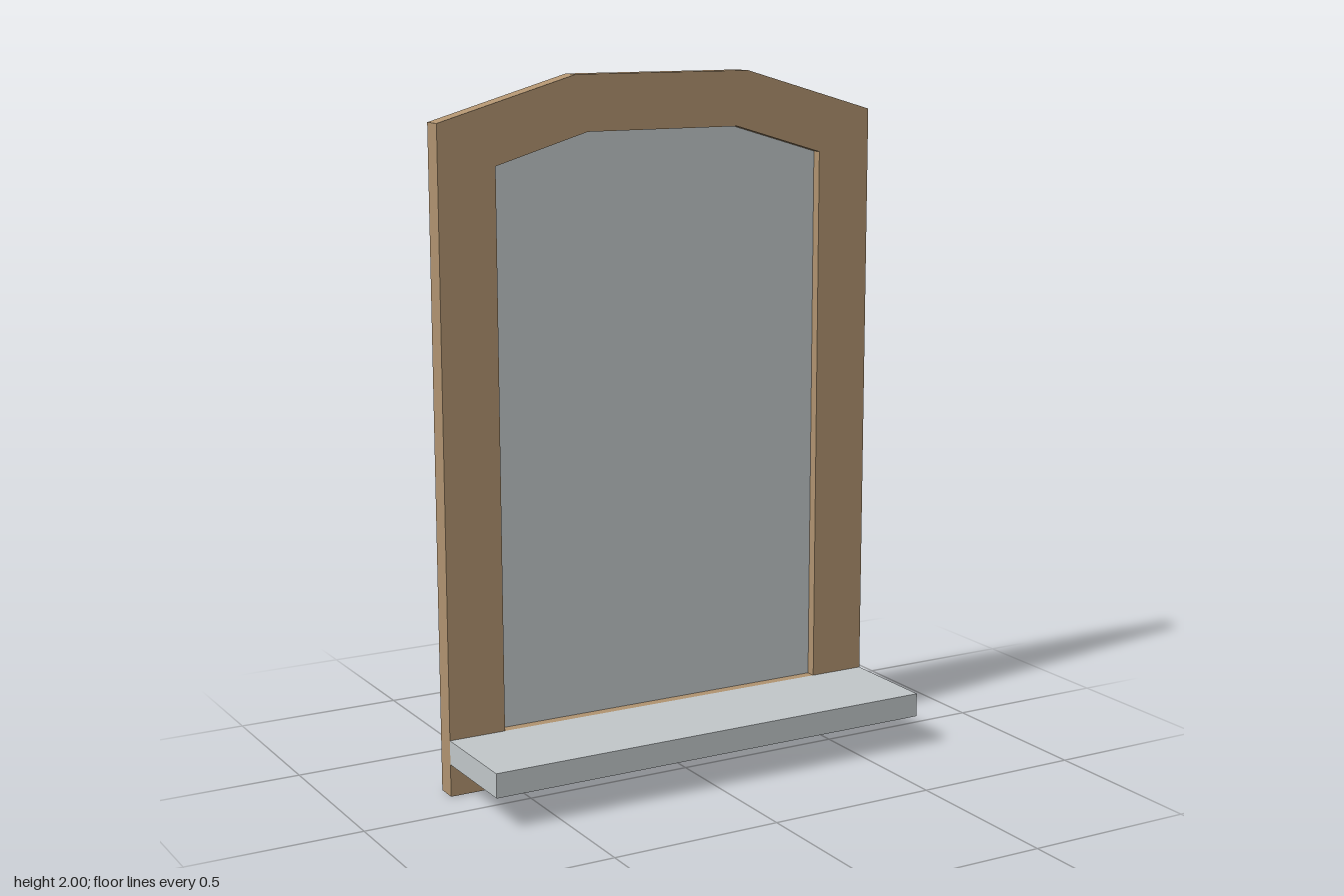
import * as THREE from 'three';

const wood = new THREE.MeshStandardMaterial({ name: 'wood', color: 0xb09370 });
const silver = new THREE.MeshStandardMaterial({ name: 'silver', color: 0xc1c7c9 });

// Symmetric outline with a three-facet arched top
function archPoints(halfWidth, bottom, shoulder, halfTop, top) {
  return [
    [-halfWidth, bottom], [halfWidth, bottom], [halfWidth, shoulder],
    [halfTop, top], [-halfTop, top], [-halfWidth, shoulder],
  ].map(([x, y]) => new THREE.Vector2(x, y));
}

export function createModel() {
  const group = new THREE.Group();
  group.name = 'wallMirror';

  const back = -0.183, recess = -0.153, front = -0.122, shelfFront = 0.183;
  const outer = archPoints(0.69, 0, 1.88, 0.275, 2);
  const inner = archPoints(0.52, 0.165, 1.76, 0.24, 1.843);

  const add = (name, geometry, material, x, y, z) => {
    const mesh = new THREE.Mesh(geometry, material);
    mesh.name = name;
    mesh.position.set(x, y, z);
    group.add(mesh);
  };
  const extrude = (shape, depth) =>
    new THREE.ExtrudeGeometry(shape, { depth, bevelEnabled: false });

  // Solid board behind the glass
  add('backBoard', extrude(new THREE.Shape(outer), recess - back), wood, 0, 0, back);

  // Raised frame with an arched opening
  const frameShape = new THREE.Shape(outer);
  frameShape.holes.push(new THREE.Path(inner));
  add('frame', extrude(frameShape, front - recess), wood, 0, 0, recess);

  // Recessed mirror face
  add('mirrorGlass', new THREE.ShapeGeometry(new THREE.Shape(inner)), silver, 0, 0, recess + 0.002);

  // Shelf across the full width, just below the opening
  const depth = shelfFront - front;
  add('shelf', new THREE.BoxGeometry(1.38, 0.07, depth), silver, 0, 0.13, front + depth / 2);

  return group;
}
